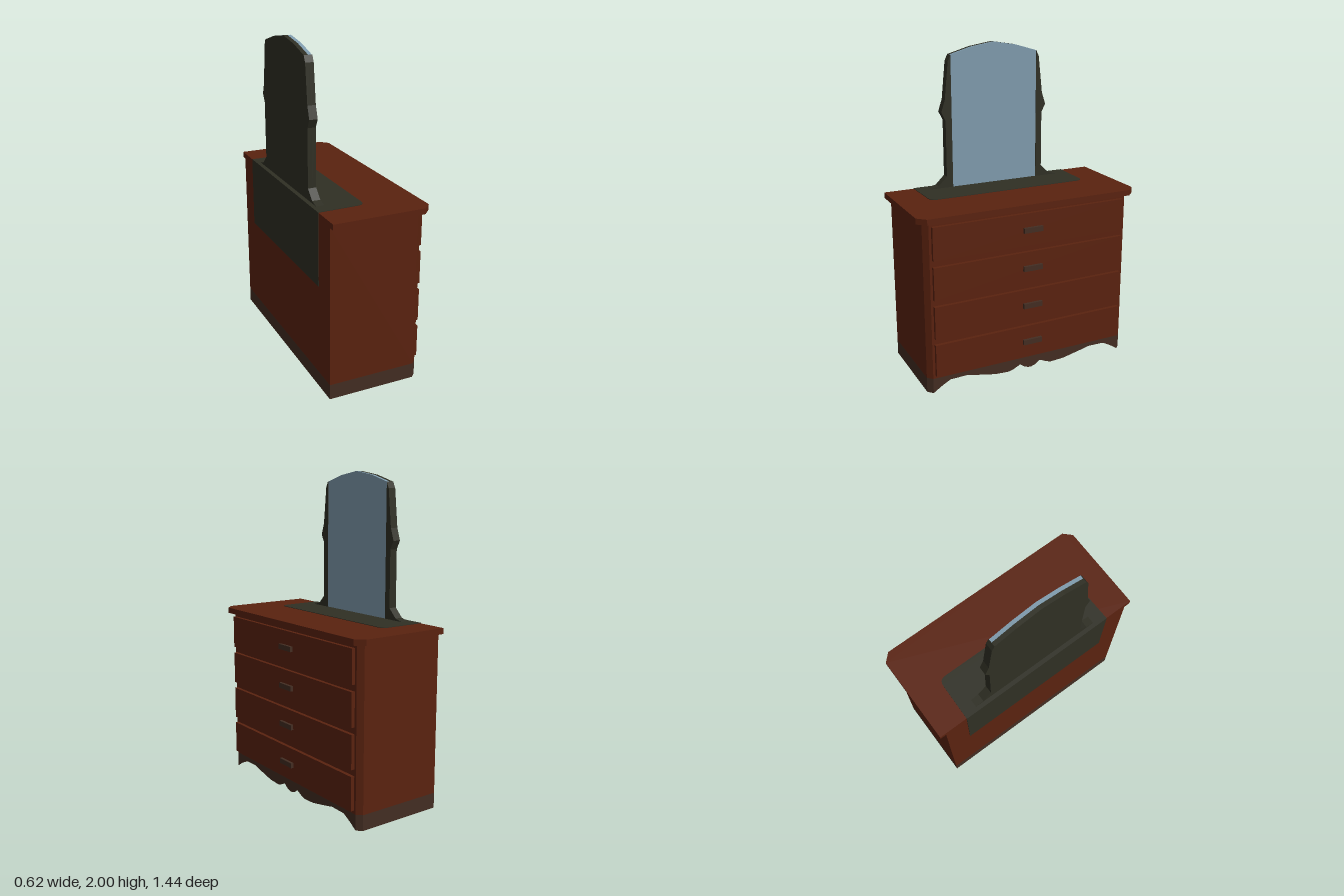
import * as THREE from 'three';

const mat = (name, color, side = THREE.FrontSide) => {
  const m = new THREE.MeshStandardMaterial({ color, side });
  m.name = name;
  return m;
};

export function createModel() {
  const root = new THREE.Group();
  root.name = 'dresserWithMirror';
  const wood = mat('redBrownWood', 0x5a220f);
  const trim = mat('darkBrownTrim', 0x432d22, THREE.DoubleSide);
  const dark = mat('darkOliveWood', 0x2f2f24);
  const glass = mat('mirrorBlue', 0x7f9bad);

  const add = (name, geo, material, parent = root) => {
    const mesh = new THREE.Mesh(geo, material);
    mesh.name = name;
    parent.add(mesh);
    return mesh;
  };
  const box = (name, x0, x1, y0, y1, z0, z1, material, parent) => {
    const g = new THREE.BoxGeometry(x1 - x0, y1 - y0, z1 - z0);
    g.translate((x0 + x1) / 2, (y0 + y1) / 2, (z0 + z1) / 2);
    return add(name, g, material, parent);
  };
  const shapeOf = (pts) => new THREE.Shape(pts.map(([a, b]) => new THREE.Vector2(a, b)));
  const mirrored = (pts) => pts.concat(pts.slice().reverse().map(([a, b]) => [-a, b]));

  // Plan shape (x, z) extruded downwards from yTop to yBottom
  const slab = (shape, y0, y1) => new THREE.ExtrudeGeometry(shape, { depth: y1 - y0, bevelEnabled: false, curveSegments: 6 })
    .rotateX(Math.PI / 2).translate(0, y1, 0);
  // Front shape (z, y) extruded along x from x0 to x1
  const panel = (shape, x0, x1) => new THREE.ExtrudeGeometry(shape, { depth: x1 - x0, bevelEnabled: false })
    .rotateY(Math.PI / 2).translate(x0, 0, 0);
  // Plan with the two front corners cut off
  const plan = (xb, xf, w, c) => [[xf, -w + c], [xf - c, -w], [xb, -w], [xb, w], [xf - c, w], [xf, w - c]];

  // Carcass and top board
  const bodyPlan = plan(-0.31, 0.27, 0.68, 0.03);
  add('carcass', slab(shapeOf(bodyPlan), 0.095, 1.075), wood);
  add('topBoard', slab(shapeOf(plan(-0.31, 0.31, 0.72, 0.05)), 1.075, 1.11), wood);

  // Hollow plinth: thin walls around the sides and back
  const pos = [];
  for (let i = 0; i < bodyPlan.length - 1; i++) {
    const [ax, az] = bodyPlan[i], [bx, bz] = bodyPlan[i + 1];
    pos.push(ax, 0, az, bx, 0, bz, bx, 0.095, bz, ax, 0, az, bx, 0.095, bz, ax, 0.095, az);
  }
  const skirt = new THREE.BufferGeometry();
  skirt.setAttribute('position', new THREE.Float32BufferAttribute(pos, 3));
  skirt.computeVertexNormals();
  add('plinthWalls', skirt, trim);

  // Scalloped front apron
  const wave = [[0.65, 0.095], [0.65, 0], [0.6, 0.033], [0.54, 0.065], [0.43, 0.067], [0.37, 0.053],
    [0.24, 0.026], [0.15, 0.021], [0.12, 0.029], [0.07, 0.052], [0.04, 0.03], [0.01, 0.02]];
  add('apron', new THREE.ShapeGeometry(shapeOf(mirrored(wave))).rotateY(Math.PI / 2).translate(0.27, 0, 0), trim);

  // Drawers with their handles
  for (let i = 0; i < 4; i++) {
    const y = 0.217 + i * 0.244;
    const drawer = new THREE.Group();
    drawer.name = `drawer${i + 1}`;
    root.add(drawer);
    box('drawerFront', 0.265, 0.292, y - 0.102, y + 0.102, -0.635, 0.635, wood, drawer);
    box('handle', 0.29, 0.31, y - 0.016, y + 0.016, -0.063, 0.063, trim, drawer);
  }

  // Dark inlay on the top and down the back
  const r = 0.05, xi = -0.02, w = 0.53;
  const inlay = new THREE.Shape();
  inlay.moveTo(-0.313, -w);
  inlay.lineTo(xi - r, -w + 0.005);
  inlay.quadraticCurveTo(xi, -w + 0.005, xi, -w + r);
  inlay.lineTo(xi, w - r);
  inlay.quadraticCurveTo(xi, w - 0.005, xi - r, w - 0.005);
  inlay.lineTo(-0.313, w);
  add('topInlay', slab(inlay, 1.108, 1.113), dark);
  box('backInlay', -0.313, -0.308, 0.66, 1.11, -w, w, dark);

  // Mirror: backboard, two side posts and the arched glass
  const mirror = new THREE.Group();
  mirror.name = 'mirror';
  root.add(mirror);
  const side = [[0.455, 1.11], [0.39, 1.127], [0.333, 1.183], [0.333, 1.537], [0.36, 1.59],
    [0.335, 1.665], [0.31, 1.897], [0.292, 1.935]];
  const arch = [[0.292, 1.935], [0.15, 1.976], [0.001, 2]];
  add('mirrorBackboard', panel(shapeOf(mirrored(side.concat(arch.slice(1)))), -0.286, -0.26), dark, mirror);
  add('mirrorGlass', panel(shapeOf(mirrored([[0.292, 1.11], ...arch])), -0.26, -0.238), glass, mirror);
  for (const s of [1, -1]) {
    const outline = [...side, [0.292, 1.11]].map(([a, b]) => [a * s, b]);
    add(s > 0 ? 'rightPost' : 'leftPost', panel(shapeOf(outline), -0.26, -0.235), dark, mirror);
  }
  return root;
}
